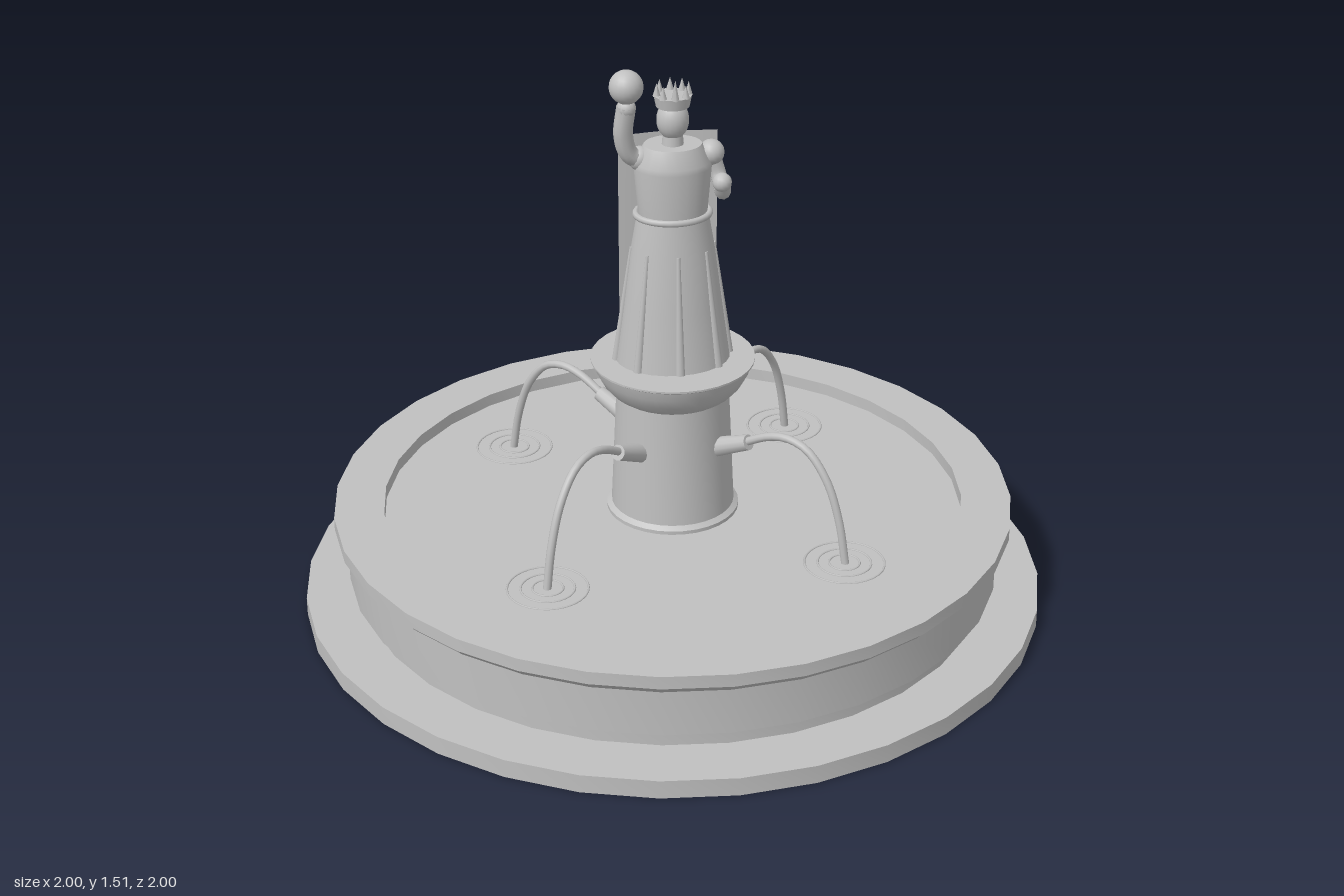
import * as THREE from 'three';
import { toCreasedNormals } from 'three/addons/utils/BufferGeometryUtils.js';

const WATER = 0.255;

export function createModel() {
  const stone = new THREE.MeshStandardMaterial({ color: 0xc0c0c0, side: THREE.DoubleSide });
  stone.name = 'stone grey';
  const root = new THREE.Group();
  root.name = 'fountain';

  const v = (x, y, z) => new THREE.Vector3(x, y, z);
  const add = (name, geo, parent = root, pos = [0, 0, 0]) => {
    const m = new THREE.Mesh(geo, stone);
    m.name = name;
    m.position.set(...pos);
    parent.add(m);
    return m;
  };
  const lathe = (pts, seg = 32) => toCreasedNormals(
    new THREE.LatheGeometry(pts.map(p => new THREE.Vector2(...p)), seg), 0.6);
  const tube = (pts, r, seg = 24) =>
    new THREE.TubeGeometry(new THREE.CatmullRomCurve3(pts), seg, r, 10);
  // Tapered rod between two points
  const rod = (name, a, b, ra, rb, parent) => {
    const m = add(name, new THREE.CylinderGeometry(rb, ra, a.distanceTo(b), 12), parent);
    m.position.copy(a).lerp(b, 0.5);
    m.quaternion.setFromUnitVectors(v(0, 1, 0), b.clone().sub(a).normalize());
    return m;
  };

  // Step, basin and water
  add('baseStep', lathe([[0, 0], [1, 0], [1, 0.05], [0.8, 0.05]]));
  add('basin', lathe([[0.85, 0.05], [0.85, 0.09], [0.88, 0.1], [0.88, 0.225], [0.89, 0.232],
    [0.905, 0.25], [0.913, 0.255], [0.913, 0.29], [0.78, 0.29], [0.78, 0.2]]));
  const water = add('water', new THREE.CircleGeometry(0.785, 32), root, [0, WATER, 0]);
  water.rotation.x = -Math.PI / 2;

  // Column and bowl-shaped pedestal
  add('column', lathe([[0.178, 0.2], [0.178, 0.265], [0.165, 0.275], [0.15, 0.6]]));
  add('pedestal', lathe([[0, 0.6], [0.15, 0.6], [0.167, 0.612], [0.187, 0.635], [0.203, 0.665],
    [0.21, 0.69], [0.218, 0.695], [0.218, 0.7], [0, 0.7]]));

  // Four spouts with water jets and ripples
  for (let i = 0; i < 4; i++) {
    const g = new THREE.Group();
    g.name = 'spout' + (i + 1);
    g.rotation.y = Math.PI / 4 + i * Math.PI / 2;
    root.add(g);
    rod('nozzle', v(0.13, 0.465, 0), v(0.245, 0.515, 0), 0.028, 0.021, g);
    add('waterJet', tube([v(0.22, 0.505, 0), v(0.31, 0.552, 0), v(0.37, 0.563, 0), v(0.43, 0.545, 0),
      v(0.49, 0.475, 0), v(0.53, 0.37, 0), v(0.553, 0.25, 0)], 0.011), g);
    for (const r of [0.04, 0.07, 0.105]) {
      const ring = add('ripple', new THREE.TorusGeometry(r, 0.003, 6, 28), g, [0.55, WATER, 0]);
      ring.rotation.x = Math.PI / 2;
    }
  }

  // Statue body: oval robe and torso
  const statue = new THREE.Group();
  statue.name = 'statue';
  root.add(statue);
  const body = new THREE.Group();
  body.name = 'body';
  body.scale.z = 0.82;
  statue.add(body);
  add('robe', lathe([[0.152, 0.7], [0.13, 0.86], [0.112, 1.0], [0.093, 1.11]], 24), body);
  add('torso', lathe([[0.09, 1.11], [0.101, 1.24], [0.1, 1.255], [0.075, 1.3], [0, 1.3]], 24), body);
  const belt = add('belt', new THREE.TorusGeometry(0.096, 0.009, 8, 28), body, [0, 1.11, 0]);
  belt.rotation.x = Math.PI / 2;
  for (let i = 0; i < 8; i++) {
    const a = i * Math.PI / 4, s = Math.sin(a), c = Math.cos(a);
    rod('robeFold', v(0.15 * s, 0.7, 0.15 * c), v(0.108 * s, 1.02, 0.108 * c), 0.012, 0.005, body);
  }

  // Cape hanging flat behind, bowed slightly
  const cape = new THREE.PlaneGeometry(0.26, 0.6, 10, 4);
  const p = cape.attributes.position;
  for (let i = 0; i < p.count; i++) p.setZ(i, -0.006 * Math.cos(p.getX(i) * 24));
  cape.computeVertexNormals();
  add('cape', cape, statue, [0, 1.0, -0.084]);

  // Head and crown
  add('neck', new THREE.CylinderGeometry(0.025, 0.03, 0.05, 16), statue, [0, 1.31, 0]);
  add('head', new THREE.SphereGeometry(0.042, 20, 14), statue, [0, 1.365, 0]).scale.y = 1.25;
  add('crownBand', new THREE.CylinderGeometry(0.049, 0.043, 0.03, 20), statue, [0, 1.417, 0]);
  for (let i = 0; i < 8; i++) {
    const a = i * Math.PI / 4, h = i === 0 ? 0.055 : 0.035;
    add('crownPoint', new THREE.ConeGeometry(0.011, h, 6), statue,
      [0.041 * Math.sin(a), 1.43 + h / 2, 0.041 * Math.cos(a)]);
  }

  // Right arm raised, holding an orb
  add('rightShoulder', new THREE.SphereGeometry(0.032, 16, 12), statue, [-0.085, 1.265, 0]);
  add('rightArm', tube([v(-0.085, 1.262, 0), v(-0.115, 1.285, 0.01), v(-0.13, 1.34, 0.02),
    v(-0.123, 1.42, 0.03)], 0.025), statue);
  add('rightHand', new THREE.SphereGeometry(0.025, 14, 10), statue, [-0.123, 1.413, 0.03]);
  add('orb', new THREE.SphereGeometry(0.044, 20, 14), statue, [-0.123, 1.47, 0.03]);

  // Left arm bent forward
  add('leftShoulder', new THREE.SphereGeometry(0.034, 16, 12), statue, [0.1, 1.27, 0]);
  add('leftArm', tube([v(0.102, 1.265, 0), v(0.118, 1.21, 0.005), v(0.122, 1.18, 0.035),
    v(0.118, 1.19, 0.07), v(0.112, 1.22, 0.092)], 0.021), statue);
  add('leftHand', new THREE.SphereGeometry(0.025, 14, 10), statue, [0.112, 1.222, 0.09]);

  return root;
}
